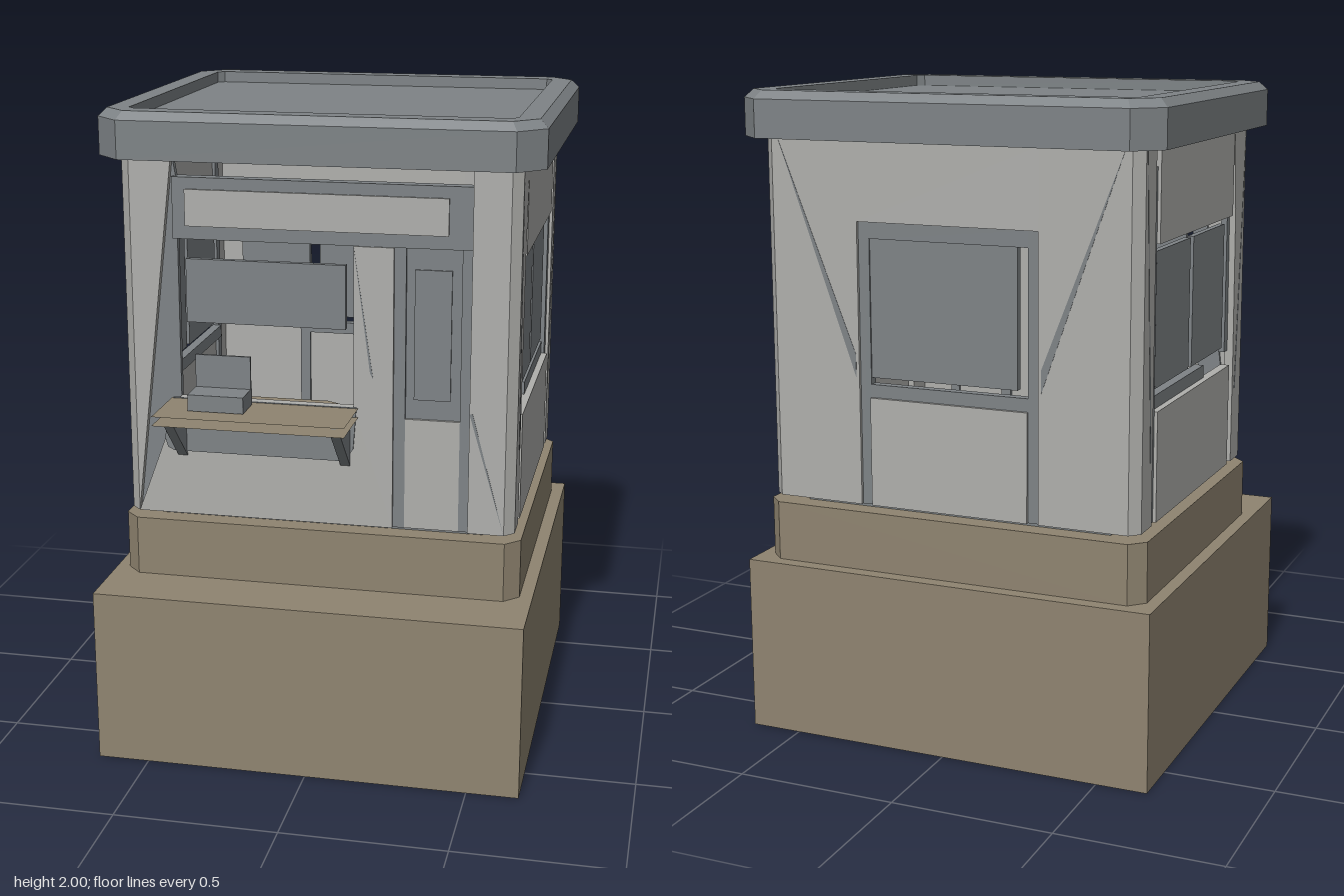
import * as THREE from 'three';

const mat = (name, color, side = THREE.FrontSide) => {
  const m = new THREE.MeshStandardMaterial({ color, side });
  m.name = name;
  return m;
};

export function createModel() {
  const light = mat('light grey panel', 0xafafac);
  const dark = mat('dark grey metal', 0x7e8386);
  const tan = mat('tan stone', 0x8f8470);
  tan.side = THREE.DoubleSide;
  const model = new THREE.Group();
  model.name = 'kiosk';

  const add = (name, geo, m, parent = model) => {
    const mesh = new THREE.Mesh(geo, m);
    mesh.name = name;
    parent.add(mesh);
    return mesh;
  };
  const box = (name, m, x0, x1, y0, y1, z0, z1) => {
    const geo = new THREE.BoxGeometry(x1 - x0, y1 - y0, z1 - z0);
    geo.translate((x0 + x1) / 2, (y0 + y1) / 2, (z0 + z1) / 2);
    return add(name, geo, m);
  };
  // Upright prism from a plan outline given as [x, z]
  const prism = (name, m, plan, y0, y1) => {
    const shape = new THREE.Shape(plan.map(([x, z]) => new THREE.Vector2(x, -z)));
    const geo = new THREE.ExtrudeGeometry(shape, { depth: y1 - y0, bevelEnabled: false });
    geo.rotateX(-Math.PI / 2).translate(0, y0, 0);
    return add(name, geo, m);
  };
  // Rectangle with chamfered corners, counter-clockwise seen from above
  const chamfered = (x, zb, zf, c) => [
    [-x + c, zf], [x - c, zf], [x, zf - c], [x, zb + c],
    [x - c, zb], [-x + c, zb], [-x, zb + c], [-x, zf - c]];

  // Base and plinth
  box('base', tan, -0.66, 0.66, 0, 0.55, -0.66, 0.66);
  prism('plinth', tan, chamfered(0.62, -0.615, 0.465, 0.045), 0.55, 0.735);

  // Roof: loops running up the outside, over the rim and down to the deck
  const loops = [
    [0.575, -0.58, 0.42, 0.03, 1.86], [0.665, -0.67, 0.51, 0.08, 1.86],
    [0.665, -0.67, 0.51, 0.08, 1.975], [0.64, -0.645, 0.485, 0.07, 2],
    [0.577, -0.58, 0.42, 0.02, 2], [0.577, -0.58, 0.42, 0.02, 1.965],
  ].map(([x, b, f, c, y]) => chamfered(x, b, f, c).map(([px, pz]) => [px, y, pz]));
  const pos = [];
  for (let i = 0; i < loops.length - 1; i++) {
    for (let j = 0; j < 8; j++) {
      const k = (j + 1) % 8;
      const [a, b, c, d] = [loops[i][j], loops[i][k], loops[i + 1][k], loops[i + 1][j]];
      pos.push(...a, ...b, ...c, ...a, ...c, ...d);
    }
  }
  const first = loops[0], last = loops[loops.length - 1];
  for (let j = 1; j < 7; j++) {
    pos.push(...last[0], ...last[j], ...last[j + 1]);
    pos.push(...first[0], ...first[j + 1], ...first[j]);
  }
  const roofGeo = new THREE.BufferGeometry();
  roofGeo.setAttribute('position', new THREE.Float32BufferAttribute(pos, 3));
  roofGeo.computeVertexNormals();
  add('roof', roofGeo, dark);

  // Chamfered corner posts
  for (const sx of [-1, 1]) {
    for (const [z, s] of [[0.45, 1], [-0.6, -1]]) {
      prism('cornerPost', light,
        [[sx * 0.6, z - s * 0.03], [sx * 0.57, z], [sx * 0.57, z - s * 0.03]], 0.755, 1.86);
    }
  }

  // Wall frames: local x runs along the wall, local z points outwards
  const wall = (name, angle, distance, flip = 1) => {
    const g = new THREE.Group();
    g.name = name;
    g.rotation.y = angle;
    model.add(g);
    const poly = (part, m, pts, inset = 0, depth = 0.03) => {
      const shape = new THREE.Shape(pts.map(([u, y]) => new THREE.Vector2(u * flip, y)));
      const geo = new THREE.ExtrudeGeometry(shape, { depth, bevelEnabled: false });
      geo.translate(0, 0, distance - inset - depth);
      add(part, geo, m, g);
    };
    const rect = (part, m, u0, u1, y0, y1, inset, depth) =>
      poly(part, m, [[u0, y0], [u1, y0], [u1, y1], [u0, y1]], inset, depth);
    return { poly, rect };
  };

  // Front wall with serving hatch and door
  const front = wall('frontWall', 0, 0.45);
  front.poly('cornerPanel', light, [[-0.57, 0.755], [-0.44, 1.86], [-0.57, 1.86]]);
  front.poly('cornerBrace', dark, [[-0.57, 0.755], [-0.43, 1.13], [-0.43, 1.8], [-0.44, 1.86]], 0.02, 0.02);
  front.poly('hatchWall', light, [[-0.57, 0.755], [0.23, 0.755], [0.23, 1.62], [0.11, 1.62],
    [0.11, 1.13], [-0.43, 1.13]]);
  front.rect('headerFrame', dark, -0.44, 0.46, 1.62, 1.805, 0.005, 0.04);
  front.rect('headerPanel', light, -0.4, 0.39, 1.66, 1.77, -0.002, 0.008);
  front.rect('hatchShutter', dark, -0.41, 0.08, 1.36, 1.555, 0.03, 0.02);
  front.rect('doorJamb', dark, 0.23, 0.265, 0.755, 1.62, 0.01);
  front.rect('doorJamb', dark, 0.43, 0.46, 0.755, 1.805, 0.01);
  front.rect('doorLowerPanel', light, 0.265, 0.43, 0.755, 1.1, 0.01, 0.02);
  front.rect('doorUpperFrame', dark, 0.265, 0.43, 1.1, 1.62, 0.02, 0.02);
  front.rect('doorWindow', dark, 0.29, 0.4, 1.16, 1.555, 0.015, 0.008);
  front.rect('cornerPanel', light, 0.46, 0.57, 0.755, 1.86);
  front.poly('cornerCrease', dark, [[0.57, 0.755], [0.47, 1.13], [0.46, 1.13]], -0.001, 0.005);
  front.poly('hatchCrease', dark, [[0.11, 1.62], [0.17, 1.22], [0.16, 1.24]], -0.001, 0.005);
  front.poly('counterBacking', dark, [[-0.45, 0.96], [0.085, 0.96], [0.11, 1.0], [0.12, 1.13],
    [-0.45, 1.13], [-0.48, 1.0], [-0.47, 0.97]], -0.005, 0.008);
  front.rect('sill', dark, -0.51, 0.5, 0.735, 0.755, 0.05, 0.02);

  // Side walls, one the mirror of the other
  for (const s of [1, -1]) {
    const side = wall(s > 0 ? 'leftWall' : 'rightWall', s * Math.PI / 2, 0.6, s);
    side.poly('frontCornerPanel', light, [[-0.42, 0.755], [-0.33, 0.755], [-0.33, 1.13],
      [-0.32, 1.6], [-0.29, 1.86], [-0.42, 1.86]]);
    side.poly('frontBrace', dark, [[-0.35, 1.13], [-0.295, 1.13], [-0.295, 1.8], [-0.32, 1.8]], 0.02, 0.02);
    side.poly('frontCrease', dark, [[-0.42, 1.86], [-0.35, 1.0], [-0.36, 1.0]], -0.001, 0.005);
    side.rect('header', light, -0.29, 0.44, 1.58, 1.86);
    side.rect('lowerPanel', light, -0.29, 0.44, 0.755, 1.09);
    side.rect('windowSill', dark, -0.07, 0.44, 1.09, 1.13, 0.02, 0.03);
    side.rect('windowPane', dark, -0.265, 0.06, 1.15, 1.555, 0.02, 0.02);
    side.rect('windowPane', dark, 0.09, 0.41, 1.15, 1.555, 0.02, 0.02);
    side.rect('rearJamb', dark, 0.44, 0.48, 0.755, 1.8, 0.01);
    side.rect('rearCornerPanel', light, 0.48, 0.57, 0.755, 1.86);
    side.poly('rearCrease', dark, [[0.56, 1.86], [0.49, 0.95], [0.5, 0.95]], -0.001, 0.005);
    side.rect('sill', dark, -0.07, 0.5, 0.735, 0.755, 0.05, 0.02);
  }

  // Back wall with a single window
  const back = wall('backWall', Math.PI, 0.6);
  for (const s of [-1, 1]) {
    back.rect('cornerPanel', light, s * 0.57, s * 0.29, 0.755, 1.86);
    back.rect('innerLining', dark, s * 0.5, s * 0.29, 1.13, 1.58, 0.03, 0.008);
    back.rect('windowJamb', dark, s * 0.29, s * 0.255, 0.755, 1.62, 0.01);
    back.poly('cornerCrease', dark, [[s * 0.55, 1.86], [s * 0.3, 1.15], [s * 0.3, 1.22]], -0.001, 0.005);
  }
  back.rect('header', light, -0.29, 0.29, 1.62, 1.86);
  back.rect('windowHead', dark, -0.255, 0.255, 1.57, 1.62, 0.01);
  back.rect('window', dark, -0.255, 0.22, 1.15, 1.57, 0.015, 0.02);
  back.rect('windowSill', dark, -0.255, 0.255, 1.09, 1.13, 0.01);
  back.rect('lowerPanel', light, -0.255, 0.255, 0.755, 1.09);
  back.rect('sill', dark, -0.5, 0.5, 0.735, 0.755, 0.05, 0.02);

  // Counter: two thin sheets on triangular brackets
  const plan = [[-0.35, 0.39], [0.02, 0.39], [0.125, 0.45], [0.125, 0.66], [-0.455, 0.66], [-0.455, 0.45]];
  for (const y of [1.128, 1.1]) {
    const sheet = new THREE.ShapeGeometry(new THREE.Shape(plan.map(([x, z]) => new THREE.Vector2(x, -z))));
    sheet.rotateX(-Math.PI / 2).translate(0, y, 0);
    add('counterSheet', sheet, tan);
  }
  for (const x of [-0.44, 0.07]) {
    const tri = new THREE.Shape([[0.45, 0.945], [0.61, 1.1], [0.45, 1.1]].map(([z, y]) => new THREE.Vector2(-z, y)));
    const geo = new THREE.ExtrudeGeometry(tri, { depth: 0.03, bevelEnabled: false });
    geo.rotateY(Math.PI / 2).translate(x, 0, 0);
    add('counterBracket', geo, dark);
  }

  // Till on the counter
  box('tillBase', dark, -0.365, -0.195, 1.13, 1.18, 0.48, 0.585);
  box('tillScreen', dark, -0.365, -0.195, 1.18, 1.28, 0.485, 0.493);

  return model;
}
